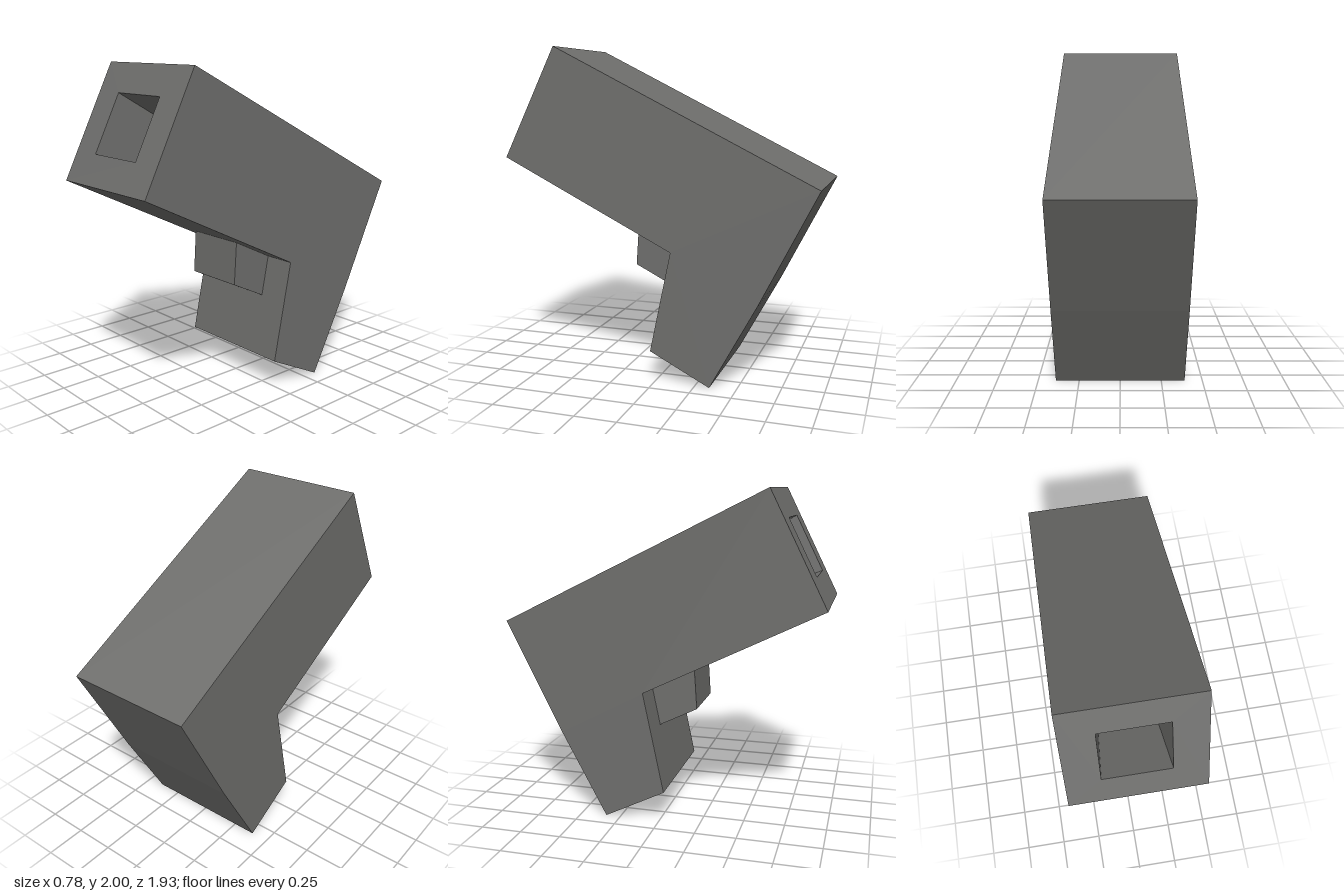
import * as THREE from 'three';
import { mergeGeometries } from 'three/addons/utils/BufferGeometryUtils.js';

const material = new THREE.MeshStandardMaterial({ color: 0x6e6e6c, flatShading: true });
const HALF_WIDTH = 0.392;

// Side profile as [z, y], from the muzzle's top edge over the back to its bottom edge
const PROFILE = [
  [0.632, 2.0], [-0.965, 1.2], [-0.622, 0.52], [-0.34, 0.0],
  [0.03, 0.187], [-0.098, 0.8], [0.967, 1.333],
];
const TRIGGER = [[0.168, 0.96], [0.187, 0.67], [-0.1, 0.526], [-0.14, 0.82]];

// Shape in the z-y plane, seen from +x (side 1) or -x (side -1)
function sideShape(points, side) {
  return new THREE.Shape(points.map(([z, y]) => new THREE.Vector2(-side * z, y)));
}

// Flat four-cornered face, corners counter-clockwise
function quad(a, b, c, d) {
  const geometry = new THREE.BufferGeometry().setFromPoints([a, b, c, a, c, d]);
  geometry.computeVertexNormals();
  return geometry;
}

function addMesh(group, name, geometry) {
  const mesh = new THREE.Mesh(geometry, material);
  mesh.name = name;
  group.add(mesh);
}

// Both flat sides of barrel and grip
function sidePanels() {
  return mergeGeometries([1, -1].map((side) =>
    new THREE.ShapeGeometry(sideShape(PROFILE, side))
      .rotateY(side * Math.PI / 2)
      .translate(side * HALF_WIDTH, 0, 0)));
}

// Strip around the profile, left open at the muzzle
function outerWalls() {
  const at = (side, [z, y]) => new THREE.Vector3(side * HALF_WIDTH, y, z);
  return mergeGeometries(PROFILE.slice(1).map((b, i) => {
    const a = PROFILE[i];
    return quad(at(-1, a), at(1, a), at(1, b), at(-1, b));
  }));
}

// Muzzle frame and tapering bore, lofted through square rings
function muzzleAndBore() {
  const [topZ, topY] = PROFILE[0];
  const [bottomZ, bottomY] = PROFILE[PROFILE.length - 1];
  const top = new THREE.Vector3(0, topY, topZ);
  const bottom = new THREE.Vector3(0, bottomY, bottomZ);
  const centre = top.clone().add(bottom).multiplyScalar(0.5);
  const halfUp = top.clone().sub(bottom).multiplyScalar(0.5);
  const inward = new THREE.Vector3(1, 0, 0).cross(halfUp).normalize().negate();

  const ring = (scale, depth) => [[-1, -1], [1, -1], [1, 1], [-1, 1]].map(([x, v]) =>
    centre.clone()
      .addScaledVector(inward, depth)
      .addScaledVector(halfUp, v * scale)
      .setX(x * scale * HALF_WIDTH));

  const rings = [ring(1, 0), ring(0.5, 0), ring(0.25, 1.2)];
  const faces = [quad(...rings[2])];
  for (let r = 0; r < 2; r++) {
    for (let j = 0; j < 4; j++) {
      const k = (j + 1) % 4;
      faces.push(quad(rings[r][j], rings[r][k], rings[r + 1][k], rings[r + 1][j]));
    }
  }
  return mergeGeometries(faces);
}

export function createModel() {
  const model = new THREE.Group();
  model.name = 'blockPistol';

  const body = new THREE.Group();
  body.name = 'barrelAndGrip';
  addMesh(body, 'sidePanels', sidePanels());
  addMesh(body, 'outerWalls', outerWalls());
  addMesh(body, 'muzzleAndBore', muzzleAndBore());
  model.add(body);

  // Trigger block, sunk into barrel and grip
  addMesh(model, 'trigger',
    new THREE.ExtrudeGeometry(sideShape(TRIGGER, 1), { depth: 0.39, bevelEnabled: false })
      .rotateY(Math.PI / 2)
      .translate(-0.195, 0, 0));

  return model;
}
